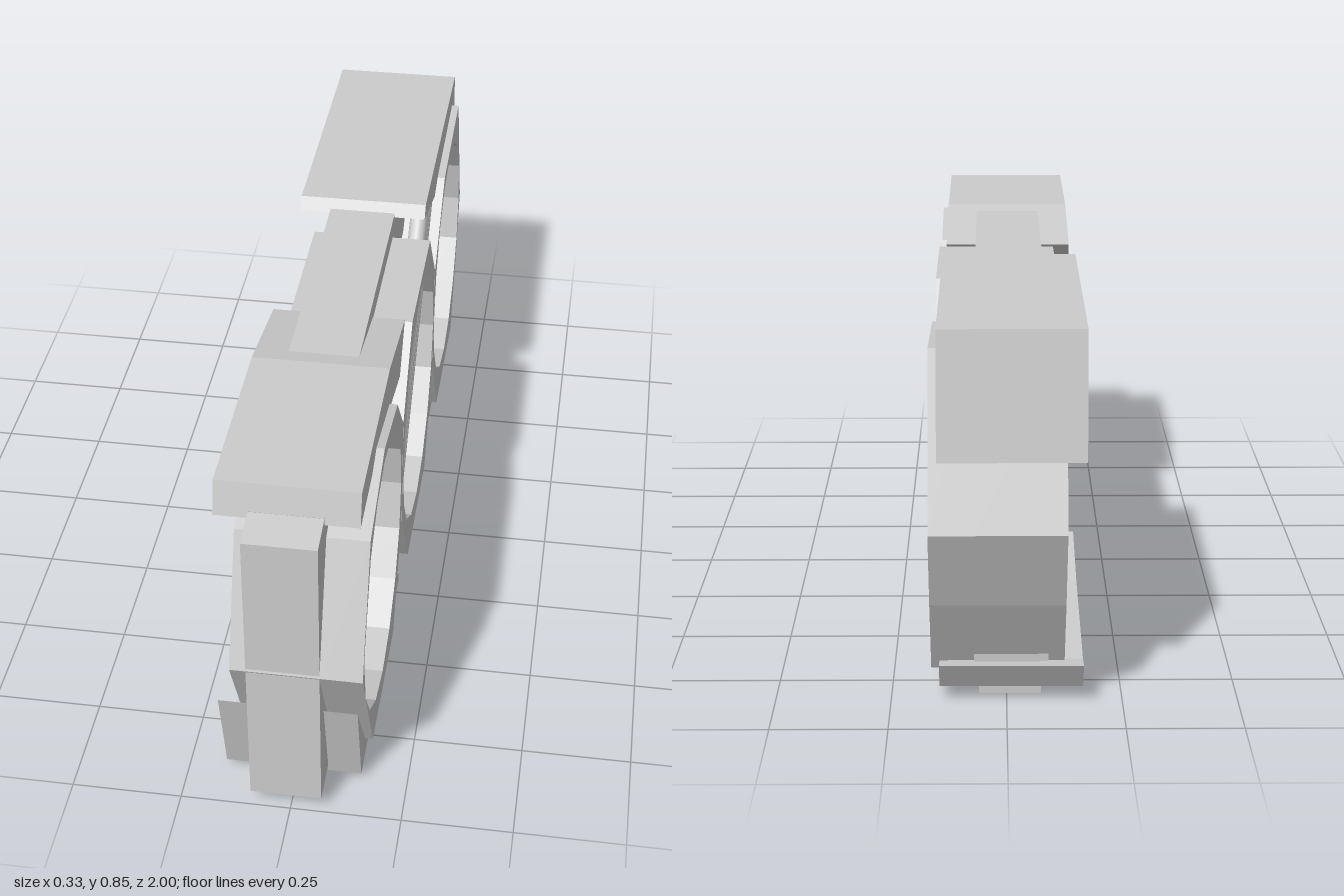
import * as THREE from 'three';

const material = new THREE.MeshStandardMaterial({ color: 0xcccccc, flatShading: true });
const smooth = new THREE.MeshStandardMaterial({ color: 0xcccccc });

export function createModel() {
  const model = new THREE.Group();

  // Side profile given as [z, y] points, extruded sideways from x0 to x1
  const slab = (name, points, x0, x1, hole, parent = model) => {
    const shape = new THREE.Shape(points.map(([z, y]) => new THREE.Vector2(-z, y)));
    if (hole) shape.holes.push(hole);
    const geometry = new THREE.ExtrudeGeometry(shape, { depth: x1 - x0, bevelEnabled: false });
    geometry.rotateY(Math.PI / 2).translate(x0, 0, 0);
    const mesh = new THREE.Mesh(geometry, material);
    mesh.name = name;
    parent.add(mesh);
  };
  const bar = (name, z0, z1, y0, y1, x0 = -0.09, x1 = 0.07) =>
    slab(name, [[z0, y0], [z1, y0], [z1, y1], [z0, y1]], x0, x1);

  // Three faceted housings, each with a round recess on the +x side
  const FLOOR = 0.072;
  const housings = [
    ['frontHousing', 0.665, [[1, 0.41], [0.89, 0.71], [0.67, 0.785], [0.45, 0.74],
      [0.332, 0.6], [0.332, 0.3], [0.47, 0.07], [0.83, 0.07]]],
    ['middleHousing', 0, [[0.18, 0.78], [-0.18, 0.78], [-0.325, 0.6], [-0.325, 0.3],
      [-0.18, 0.07], [0.18, 0.07], [0.328, 0.3], [0.328, 0.6]]],
    ['rearHousing', -0.65, [[-1, 0.43], [-0.86, 0.79], [-0.52, 0.76], [-0.33, 0.6],
      [-0.33, 0.3], [-0.47, 0.07], [-0.84, 0.07], [-0.93, 0.25]]],
  ];
  for (const [name, centre, outline] of housings) {
    const group = new THREE.Group();
    group.name = name;
    const hole = new THREE.Path();
    for (let i = 0; i < 16; i++) {
      const a = (i / 16) * Math.PI * 2;
      hole[i ? 'lineTo' : 'moveTo'](-centre + 0.312 * Math.cos(a), 0.438 + 0.312 * Math.sin(a));
    }
    hole.closePath();
    slab('housingBack', outline, -0.125, FLOOR, null, group);
    slab('recessRim', outline, FLOOR, 0.163, hole, group);
    model.add(group);
  }

  // Wide clamps wrapping the corners
  const clamps = {
    frontUpperClamp: [[0.91, 0.76], [0.89, 0.837], [0.45, 0.837], [0.18, 0.785], [0.26, 0.68], [0.62, 0.765]],
    rearUpperClamp: [[-0.21, 0.82], [-0.23, 0.85], [-0.92, 0.845], [-0.965, 0.575], [-0.87, 0.79],
      [-0.52, 0.765], [-0.45, 0.745]],
    frontLowerClamp: [[0.95, 0.265], [0.89, 0.018], [0.22, 0.015], [0.22, 0.045], [0.45, 0.12], [0.47, 0.072], [0.83, 0.072]],
    rearLowerClamp: [[-0.18, 0.075], [-0.45, 0.035], [-0.86, 0.035], [-0.895, 0.097], [-0.84, 0.09],
      [-0.47, 0.125], [-0.26, 0.17]],
  };
  for (const [name, points] of Object.entries(clamps)) slab(name, points, -0.165, 0.145);

  // Narrow central spine along the top, the bottom and between the housings
  bar('topSpine', 0.5, -0.45, 0.66, 0.828);
  bar('bottomSpine', 0.5, -0.86, 0.035, 0.2);
  bar('bottomStrip', 0.81, -0.82, 0, 0.04, -0.075, 0.06);

  // Upright post at the front end
  slab('frontPost', [[0.998, 0.04], [0.998, 0.765], [0.91, 0.777], [0.8, 0.7], [0.8, 0.04]], -0.09, 0.07);

  // Diagonal pipes crossing the middle recess
  const pipes = new THREE.Group();
  pipes.name = 'diagonalPipes';
  for (const offset of [-0.042, 0, 0.042]) {
    const pipe = new THREE.Mesh(new THREE.CylinderGeometry(0.022, 0.022, 1.08, 16), smooth);
    pipe.name = 'pipe';
    pipe.position.z = offset;
    pipes.add(pipe);
  }
  pipes.position.set(0.12, 0.42, 0.01);
  pipes.rotation.x = -Math.atan2(0.749, 0.67);
  model.add(pipes);

  return model;
}
